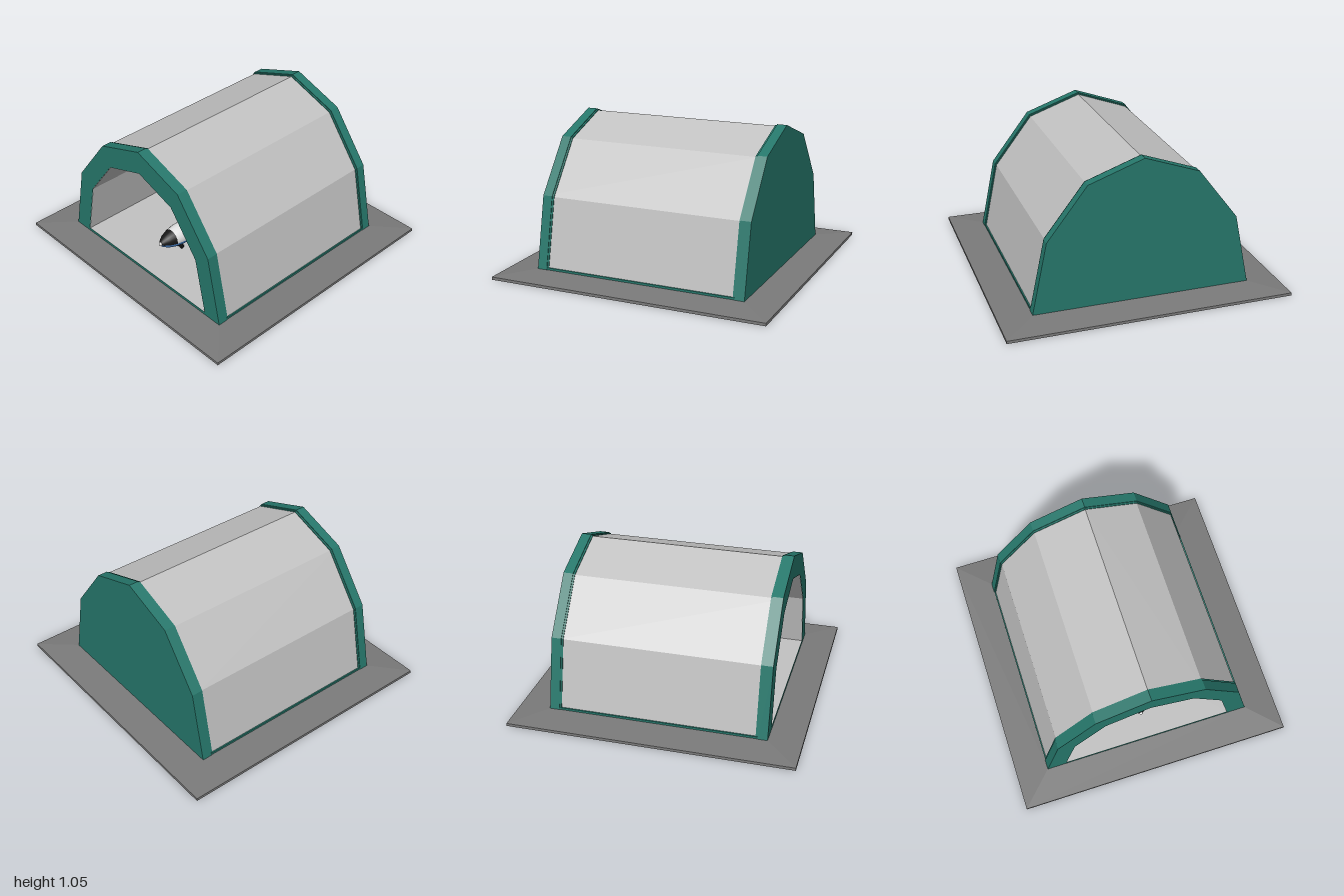
import * as THREE from 'three';

const mat = (name, color) => {
  const m = new THREE.MeshStandardMaterial({ color });
  m.name = name;
  return m;
};

export function createModel() {
  const root = new THREE.Group();
  root.name = 'hangar';
  const teal = mat('teal', 0x26776b), shellGrey = mat('light grey', 0xc2c2c2);
  const slabGrey = mat('slab grey', 0x7a7a7a), blue = mat('blue', 0x4a86d0);
  const black = mat('black', 0x161616), red = mat('red', 0xb81c34);
  const white = mat('white', 0xe4e4e4);

  const add = (parent, name, geometry, material, x = 0, y = 0, z = 0) => {
    const m = new THREE.Mesh(geometry, material);
    m.name = name;
    m.position.set(x, y, z);
    parent.add(m);
    return m;
  };
  const box = (w, h, d) => new THREE.BoxGeometry(w, h, d);

  // Seven-point arch outlines, mirrored about x = 0
  const arch = (half, scale = 1, baseY = half[0][1]) => {
    const pts = [...half, ...half.slice(0, -1).reverse().map(([x, y]) => [-x, y])];
    return pts.map(([x, y]) => new THREE.Vector2(x * scale, baseY + (y - baseY) * scale));
  };
  const outer = [[0.77, 0.04], [0.665, 0.545], [0.385, 0.91], [0, 1.047]];
  const inner = [[0.628, 0.06], [0.545, 0.465], [0.315, 0.768], [0, 0.878]];
  const slice = (outline, hole, z0, z1) => {
    const shape = new THREE.Shape(outline);
    if (hole) shape.holes.push(new THREE.Path(hole));
    return new THREE.ExtrudeGeometry(shape, { depth: z1 - z0, bevelEnabled: false }).translate(0, 0, z0);
  };

  // Ground slab with sloping top
  add(root, 'slab', box(2, 0.02, 2), slabGrey, 0, 0.01, 0);
  const slope = new THREE.CylinderGeometry(0.77 * Math.SQRT2, Math.SQRT2, 0.02, 4).toNonIndexed();
  slope.rotateY(Math.PI / 4).computeVertexNormals();
  add(root, 'slabSlope', slope, slabGrey, 0, 0.03, 0);

  // Hangar: front frame, closed back wall, stepped rims, vaulted shell and sills
  add(root, 'frontFrame', slice(arch(outer), arch(inner), 0.7, 0.77), teal);
  add(root, 'backWall', slice(arch(outer), null, -0.77, -0.7), teal);
  for (const z of [-0.7, 0.687]) {
    add(root, 'rim', slice(arch(outer, 0.994), arch(inner), z, z + 0.013), teal);
  }
  add(root, 'shell', slice(arch(outer, 0.988), arch(inner, 0.996, 0.061), -0.7, 0.768), shellGrey);
  for (const s of [-1, 1]) add(root, 'sill', box(0.02, 0.015, 1.4), teal, s * 0.757, 0.0475, 0);

  // Airliner
  const plane = new THREE.Group();
  plane.name = 'airliner';
  root.add(plane);

  // Fuselage sectors turned around the z axis; angle 0 points down
  const sector = (name, profile, from, to, material) => {
    const g = new THREE.LatheGeometry(profile.map(([r, z]) => new THREE.Vector2(r, z)), 12, from, to - from);
    return add(plane, name, g.rotateX(Math.PI / 2), material, 0, 0.187, 0);
  };
  const body = [[0.02, -0.52], [0.055, -0.36], [0.078, -0.2], [0.078, 0.45], [0.068, 0.51]];
  const nose = [[0.068, 0.51], [0.05, 0.565], [0.024, 0.605], [0.001, 0.62]];
  const split = 1.35;
  sector('belly', body, -split, split, blue);
  sector('upperBody', body, split, Math.PI * 2 - split, white);
  sector('noseLower', nose, -split, split, blue);
  sector('noseUpper', nose, split, Math.PI * 2 - split, black);
  add(plane, 'noseTip', new THREE.SphereGeometry(0.015, 8, 6), white, 0, 0.187, 0.611);

  // Flat wing panels drawn as (x, z), raised towards the tip
  const panel = (points, thickness, s, rise = 0) => {
    const shape = new THREE.Shape(points.map(([x, z]) => new THREE.Vector2(s * x, -z)));
    const g = new THREE.ExtrudeGeometry(shape, { depth: thickness, bevelEnabled: false });
    g.rotateX(-Math.PI / 2);
    const p = g.attributes.position;
    for (let i = 0; i < p.count; i++) p.setY(i, p.getY(i) + rise * Math.abs(p.getX(i)));
    g.computeVertexNormals();
    return g;
  };
  const wing = [[0.03, 0.26], [0.56, 0.02], [0.56, -0.07], [0.25, 0], [0.03, -0.03]];
  const tail = [[0.02, -0.33], [0.3, -0.46], [0.3, -0.52], [0.02, -0.47]];
  const flap = [[0.08, 0.07], [0.25, 0.05], [0.25, 0], [0.08, -0.02]];
  for (const s of [-1, 1]) {
    add(plane, 'wing', panel(wing, 0.016, s, 0.025), blue, 0, 0.152, 0);
    add(plane, 'wingTop', panel(wing, 0.004, s, 0.025), white, 0, 0.168, 0);
    add(plane, 'wingPatch', panel(flap, 0.008, s, 0.025), red, 0, 0.18, 0);
    add(plane, 'tailplane', panel(tail, 0.012, s, 0.02), blue, 0, 0.205, 0);

    // Engines on pylons
    for (const [x, y, z] of [[0.22, 0.106, 0.18], [0.395, 0.12, 0.1]]) {
      const tube = new THREE.CylinderGeometry(0.036, 0.026, 0.13, 10).rotateX(Math.PI / 2);
      add(plane, 'engine', tube, white, s * x, y, z);
      add(plane, 'intake', new THREE.CircleGeometry(0.024, 10), black, s * x, y, z + 0.066);
      add(plane, 'pylon', box(0.012, 0.05, 0.08), blue, s * x, y + 0.04, z - 0.03);
    }

    // Main landing gear
    for (const z of [-0.03, 0.04]) {
      const wheel = new THREE.CylinderGeometry(0.02, 0.02, 0.02, 10).rotateZ(Math.PI / 2);
      add(plane, 'mainWheel', wheel, black, s * 0.045, 0.081, z);
    }
    add(plane, 'mainStrut', box(0.012, 0.06, 0.012), black, s * 0.045, 0.11, 0);
    const noseWheel = new THREE.CylinderGeometry(0.016, 0.016, 0.014, 10).rotateZ(Math.PI / 2);
    add(plane, 'noseWheel', noseWheel, black, s * 0.018, 0.077, 0.43);
  }
  add(plane, 'noseStrut', box(0.012, 0.06, 0.012), black, 0, 0.1, 0.43);
  add(plane, 'lowerBar', box(0.44, 0.012, 0.05), red, 0, 0.1, 0.02);

  // Fin, thinning towards its top
  const finShape = new THREE.Shape([[-0.25, 0.23], [-0.42, 0.525], [-0.51, 0.525], [-0.48, 0.2]]
    .map(([z, y]) => new THREE.Vector2(z, y)));
  const fin = new THREE.ExtrudeGeometry(finShape, { depth: 1, bevelEnabled: false });
  fin.translate(0, 0, -0.5).rotateY(-Math.PI / 2);
  const fp = fin.attributes.position;
  for (let i = 0; i < fp.count; i++) fp.setX(i, fp.getX(i) * (0.068 - 0.1 * fp.getY(i)));
  fin.computeVertexNormals();
  add(plane, 'fin', fin, blue);

  return root;
}
